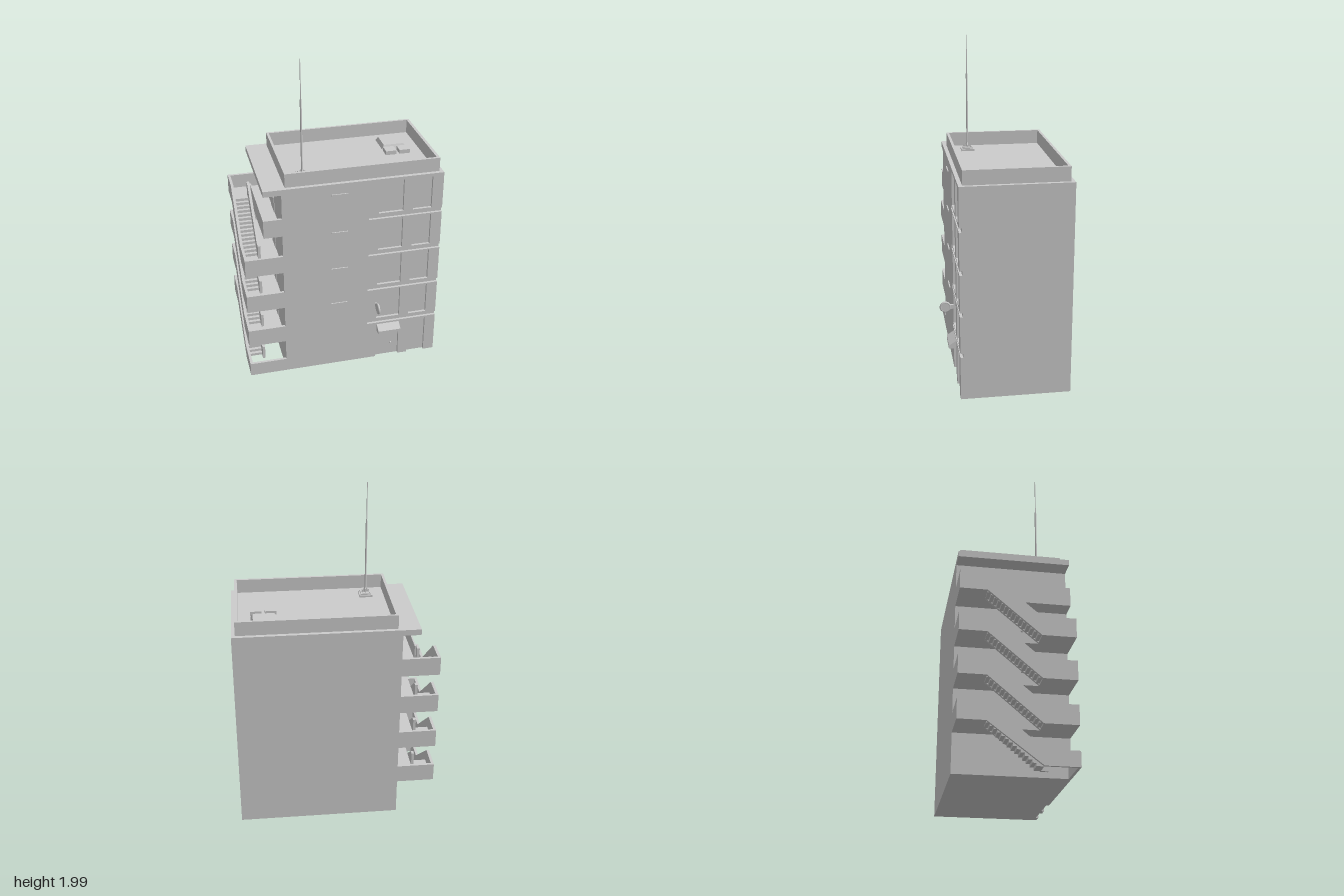
import * as THREE from 'three';

export function createModel() {
  const model = new THREE.Group();
  const mat = new THREE.MeshStandardMaterial({ color: 0xcccccc, side: THREE.DoubleSide });

  const add = (name, geo, parent = model) => {
    const mesh = new THREE.Mesh(geo, mat);
    mesh.name = name;
    parent.add(mesh);
    return mesh;
  };
  // box given by its limits on each axis
  const box = (name, x0, x1, y0, y1, z0, z1, parent) => {
    const geo = new THREE.BoxGeometry(x1 - x0, y1 - y0, z1 - z0);
    geo.translate((x0 + x1) / 2, (y0 + y1) / 2, (z0 + z1) / 2);
    return add(name, geo, parent);
  };
  // side profile of [z, y] points, extruded from x0 to x1
  const profile = (name, pts, x0, x1, parent) => {
    const shape = new THREE.Shape(pts.map(([z, y]) => new THREE.Vector2(-z, y)));
    const geo = new THREE.ExtrudeGeometry(shape, { depth: x1 - x0, bevelEnabled: false });
    geo.rotateY(Math.PI / 2).translate(x0, 0, 0);
    return add(name, geo, parent);
  };
  const group = (name) => {
    const g = new THREE.Group();
    g.name = name;
    model.add(g);
    return g;
  };

  const L = -0.375, R = 0.597, F = 0.281, B = -0.365, TOP = 1.28;
  const storey = 0.251, recess = 0.016;

  // main block and roof slab
  box('body', L, R, 0, TOP, B, F - recess);
  box('roofSlab', -0.48, L, 1.245, TOP, B, F);

  // front wall: grooves cut in from the right, doors open at the ground, windows as holes
  const bays = [[0.205, 0.355], [0.415, 0.53]];
  const wall = new THREE.Shape();
  wall.moveTo(L, 0);
  for (const [a, b] of bays) {
    wall.lineTo(a, 0); wall.lineTo(a, 0.253);
    wall.lineTo(b, 0.253); wall.lineTo(b, 0);
  }
  wall.lineTo(R, 0);
  for (let k = 0; k < 4; k++) {
    const y = 0.265 + k * storey;
    wall.lineTo(R, y); wall.lineTo(0.145, y);
    wall.lineTo(0.145, y + 0.026); wall.lineTo(R, y + 0.026);
    for (const [a, b] of bays) {
      const hole = new THREE.Path();
      hole.moveTo(a, y + 0.037); hole.lineTo(a, y + 0.243);
      hole.lineTo(b, y + 0.243); hole.lineTo(b, y + 0.037);
      hole.closePath();
      wall.holes.push(hole);
    }
  }
  wall.lineTo(R, TOP); wall.lineTo(L, TOP); wall.closePath();
  const wallGeo = new THREE.ExtrudeGeometry(wall, { depth: recess, bevelEnabled: false });
  add('frontWall', wallGeo.translate(0, 0, F - recess));

  // narrow strips on the blank part of the front
  for (let k = 0; k < 4; k++) {
    const y = 0.453 + k * storey;
    box('frontStrip', -0.085, 0.016, y, y + 0.009, F - 0.002, F + 0.007);
  }

  // entrance: awning and door knob
  profile('awning', [[F - 0.005, 0.205], [0.325, 0.205], [0.325, 0.225], [F, 0.253], [F - 0.005, 0.253]], 0.21, 0.355);
  const knob = new THREE.SphereGeometry(0.007, 12, 8);
  add('doorKnob', knob).position.set(0.308, 0.085, F - recess + 0.004);

  // round hanging sign
  const sign = group('roundSign');
  const disc = add('signDisc', new THREE.CylinderGeometry(0.031, 0.031, 0.012, 32), sign);
  disc.rotation.z = Math.PI / 2;
  const rim = add('signRim', new THREE.TorusGeometry(0.028, 0.007, 10, 32), sign);
  rim.rotation.y = Math.PI / 2;
  sign.position.set(0.2, 0.408, 0.33);
  box('signBracket', 0.195, 0.205, 0.395, 0.421, F - 0.005, 0.305);

  // parapet around the roof
  const rect = (T, x0, x1, z0, z1) => new T([[x0, z0], [x1, z0], [x1, z1], [x0, z1], [x0, z0]]
    .map(([x, z]) => new THREE.Vector2(x, -z)));
  const ring = rect(THREE.Shape, -0.35, 0.575, -0.342, 0.258);
  ring.holes.push(rect(THREE.Path, -0.335, 0.558, -0.327, 0.242));
  const ringGeo = new THREE.ExtrudeGeometry(ring, { depth: 1.365 - TOP, bevelEnabled: false });
  add('parapet', ringGeo.rotateX(-Math.PI / 2).translate(0, TOP, 0));

  // skylight with sloping sides and two vent boxes
  const skylight = new THREE.CylinderGeometry(0.063 * Math.SQRT2, 0.076 * Math.SQRT2, 0.025, 4, 1).toNonIndexed();
  skylight.rotateY(Math.PI / 4).computeVertexNormals();
  add('skylight', skylight).position.set(0.408, TOP + 0.0125, -0.18);
  for (const x of [0.332, 0.418]) box('roofVent', x, x + 0.067, TOP, TOP + 0.025, -0.09, -0.023);

  // antenna mast on a stepped plinth with crossed fins
  const antenna = group('antenna');
  antenna.position.set(-0.224, TOP, 0.139);
  box('antennaBase', -0.04, 0.04, 0, 0.012, -0.04, 0.04, antenna);
  box('antennaPlate', -0.031, 0.031, 0.012, 0.02, -0.031, 0.031, antenna);
  for (const turn of [0, Math.PI / 2]) {
    const fin = new THREE.Shape([[-0.025, 0.02], [0.025, 0.02], [0.004, 0.05], [-0.004, 0.05]]
      .map(([x, y]) => new THREE.Vector2(x, y)));
    const finGeo = new THREE.ExtrudeGeometry(fin, { depth: 0.004, bevelEnabled: false });
    add('antennaFin', finGeo.translate(0, 0, -0.002).rotateY(turn), antenna);
  }
  for (const x of [-0.022, 0.022]) for (const z of [-0.022, 0.022]) {
    add('antennaBolt', new THREE.CylinderGeometry(0.003, 0.003, 0.008, 6), antenna).position.set(x, 0.023, z);
  }
  const mast = [[0, 0.02], [0.0055, 0.02], [0.0055, 0.475], [0.003, 0.48], [0.002, 0.71], [0, 0.71]];
  add('antennaMast', new THREE.LatheGeometry(mast.map(([r, y]) => new THREE.Vector2(r, y)), 10), antenna);

  // outside stairs: each flight climbs to the rear, a gallery leads back to the front
  const stairs = group('outsideStairs');
  const O = -0.602, I = -0.485, T = 0.016;
  const zLow = 0.09, zHigh = -0.21, rail = 0.087, slab = 0.026, steps = 15;
  for (let k = 0; k < 4; k++) {
    const y = k * storey, up = y + storey, under = k ? y - slab : 0;
    // band following floor, slope, floor
    const band = (z0, z1) => [
      [z0, under], [z0, y + rail], [zLow, y + rail], [zHigh, up + rail],
      [z1, up + rail], [z1, up - slab], [zHigh, up - slab], [zLow, under],
    ];
    profile('outerStairWall', band(F, B), O, O + T, stairs);
    profile('innerStairWall', band(0.13, -0.24), I - T, I, stairs);
    box('frontLandingWall', O, L, under, y + rail, F - T, F, stairs);
    box('rearLandingWall', O, L, up - slab, up + rail, B, B + T, stairs);
    box('rearLanding', O, L, up - slab, up, B, zHigh, stairs);
    box('gallery', I, L, up - slab, up, zHigh, F, stairs);
    if (k < 3) box('frontLanding', O, I, up - slab, up, zLow, F, stairs);
    const run = (zLow - zHigh) / steps, rise = storey / steps;
    for (let i = 0; i < steps; i++) {
      const z = zLow - i * run, top = y + (i + 1) * rise;
      box('step', O + T, I - T, Math.max(0, top - 2 * rise), top, z - run, z, stairs);
    }
  }
  // wall closing the uppermost gallery
  const top = 4 * storey;
  box('topGalleryWall', I, I + T / 2, top - slab, top + rail, zHigh, F, stairs);
  box('topGalleryFront', I, L, top - slab, top + rail, F - T, F, stairs);

  // gallery doors with knobs
  for (let k = 1; k < 5; k++) {
    const y = k * storey;
    box('galleryDoor', L - 0.003, L, y, y + 0.19, -0.07, 0.03, stairs);
    add('galleryKnob', knob, stairs).position.set(L - 0.003, y + 0.095, 0.018);
  }
  return model;
}
